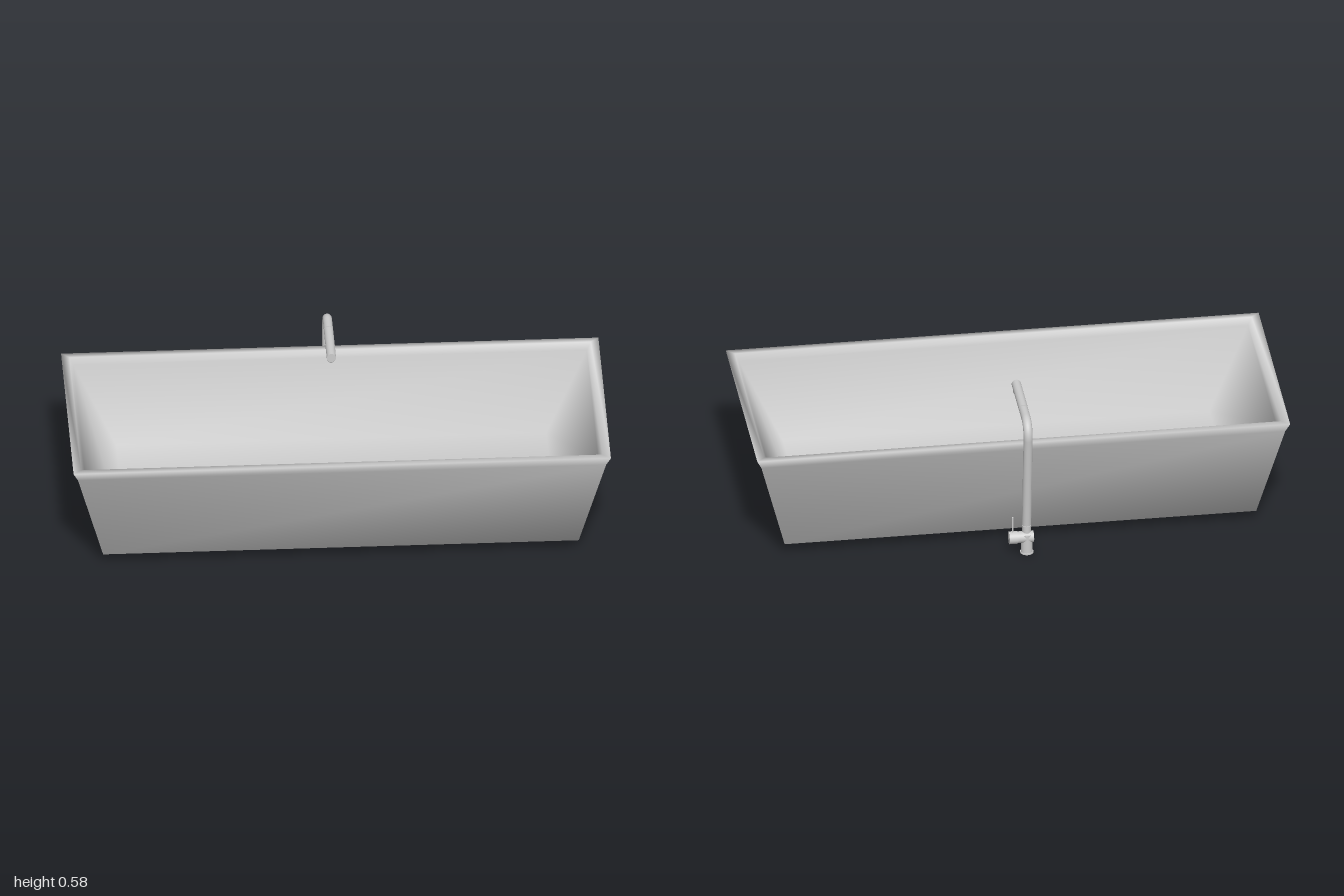
import * as THREE from 'three';

const grey = new THREE.MeshStandardMaterial({ color: 0xcccccc });
const TUB_Z = 0.038;
const TAP_X = -0.008;

function addMesh(parent, name, geometry, x = 0, y = 0, z = 0) {
  const mesh = new THREE.Mesh(geometry, grey);
  mesh.name = name;
  mesh.position.set(x, y, z);
  parent.add(mesh);
  return mesh;
}

// Smooth skin through rectangular rings [halfX, halfZ, y], closed on the last ring
function ringSkin(rings) {
  const positions = [], index = [];
  const corners = [[1, 1], [1, -1], [-1, -1], [-1, 1]];
  for (const [hx, hz, y] of rings) {
    for (const [sx, sz] of corners) positions.push(sx * hx, y, sz * hz);
  }
  for (let j = 0; j < rings.length - 1; j++) {
    for (let i = 0; i < 4; i++) {
      const a = j * 4 + i, b = j * 4 + (i + 1) % 4;
      index.push(a, b, b + 4, a, b + 4, a + 4);
    }
  }
  const e = (rings.length - 1) * 4;
  index.push(e, e + 1, e + 2, e, e + 2, e + 3);
  const geometry = new THREE.BufferGeometry();
  geometry.setAttribute('position', new THREE.Float32BufferAttribute(positions, 3));
  geometry.setIndex(index);
  geometry.computeVertexNormals();
  return geometry;
}

function rod(radius, length) {
  return new THREE.CylinderGeometry(radius, radius, length, 32);
}

function createBathtub() {
  const tub = new THREE.Group();
  tub.name = 'bathtub';
  tub.position.z = TUB_Z;
  // Outside upwards, over the rim, then down the inside to the flat floor
  addMesh(tub, 'basin', ringSkin([
    [0.57, 0.207, 0],
    [0.885, 0.33, 0.042],
    [0.983, 0.407, 0.42],
    [1.0, 0.419, 0.455],
    [0.97, 0.391, 0.455],
    [0.955, 0.383, 0.425],
    [0.8, 0.315, 0.11],
  ]));
  const base = new THREE.PlaneGeometry(1.14, 0.414).rotateX(Math.PI / 2);
  addMesh(tub, 'underside', base);
  return tub;
}

function createTap() {
  const tap = new THREE.Group();
  tap.name = 'tap';
  tap.position.x = TAP_X;

  // Floor flange, body and neck
  addMesh(tap, 'flange', rod(0.025, 0.005), 0, 0.0025, -0.403);
  addMesh(tap, 'body', rod(0.022, 0.075), 0, 0.0425, -0.403);
  addMesh(tap, 'neck', rod(0.0165, 0.036), 0, 0.095, -0.398);
  addMesh(tap, 'neckJoint', rod(0.0145, 0.008), 0, 0.115, -0.397);

  // Sideways valve with its lever
  addMesh(tap, 'valve', rod(0.022, 0.06), 0.005, 0.066, -0.403).rotation.z = Math.PI / 2;
  addMesh(tap, 'valveKnob', rod(0.024, 0.032), 0.051, 0.066, -0.403).rotation.z = Math.PI / 2;
  addMesh(tap, 'lever', rod(0.003, 0.07), 0.053, 0.117, -0.402);

  // Leaning riser that bends forward
  const path = new THREE.CurvePath();
  const v = (y, z) => new THREE.Vector3(0, y, z);
  path.add(new THREE.LineCurve3(v(0.117, -0.397), v(0.5, -0.437)));
  path.add(new THREE.CubicBezierCurve3(
    v(0.5, -0.437), v(0.537, -0.441), v(0.563, -0.42), v(0.563, -0.382)));
  path.add(new THREE.LineCurve3(v(0.563, -0.382), v(0.563, -0.319)));
  addMesh(tap, 'riser', new THREE.TubeGeometry(path, 72, 0.0172, 24, false));
  addMesh(tap, 'riserFoot', rod(0.0172, 0.002), 0, 0.118, -0.397).rotation.x = -0.1;
  addMesh(tap, 'riserEnd', rod(0.0172, 0.002), 0, 0.563, -0.32).rotation.x = Math.PI / 2;

  // Spout and outlet
  addMesh(tap, 'spoutJoint', rod(0.0155, 0.012), 0, 0.563, -0.317).rotation.x = Math.PI / 2;
  addMesh(tap, 'spout', rod(0.0175, 0.19), 0, 0.563, -0.22).rotation.x = Math.PI / 2;
  addMesh(tap, 'outlet', rod(0.0155, 0.012), 0, 0.546, -0.149);
  addMesh(tap, 'outletTip', new THREE.CylinderGeometry(0.0155, 0.011, 0.005, 32), 0, 0.5375, -0.149);
  return tap;
}

export function createModel() {
  const model = new THREE.Group();
  model.name = 'bathtubWithTap';
  model.add(createBathtub(), createTap());
  return model;
}
